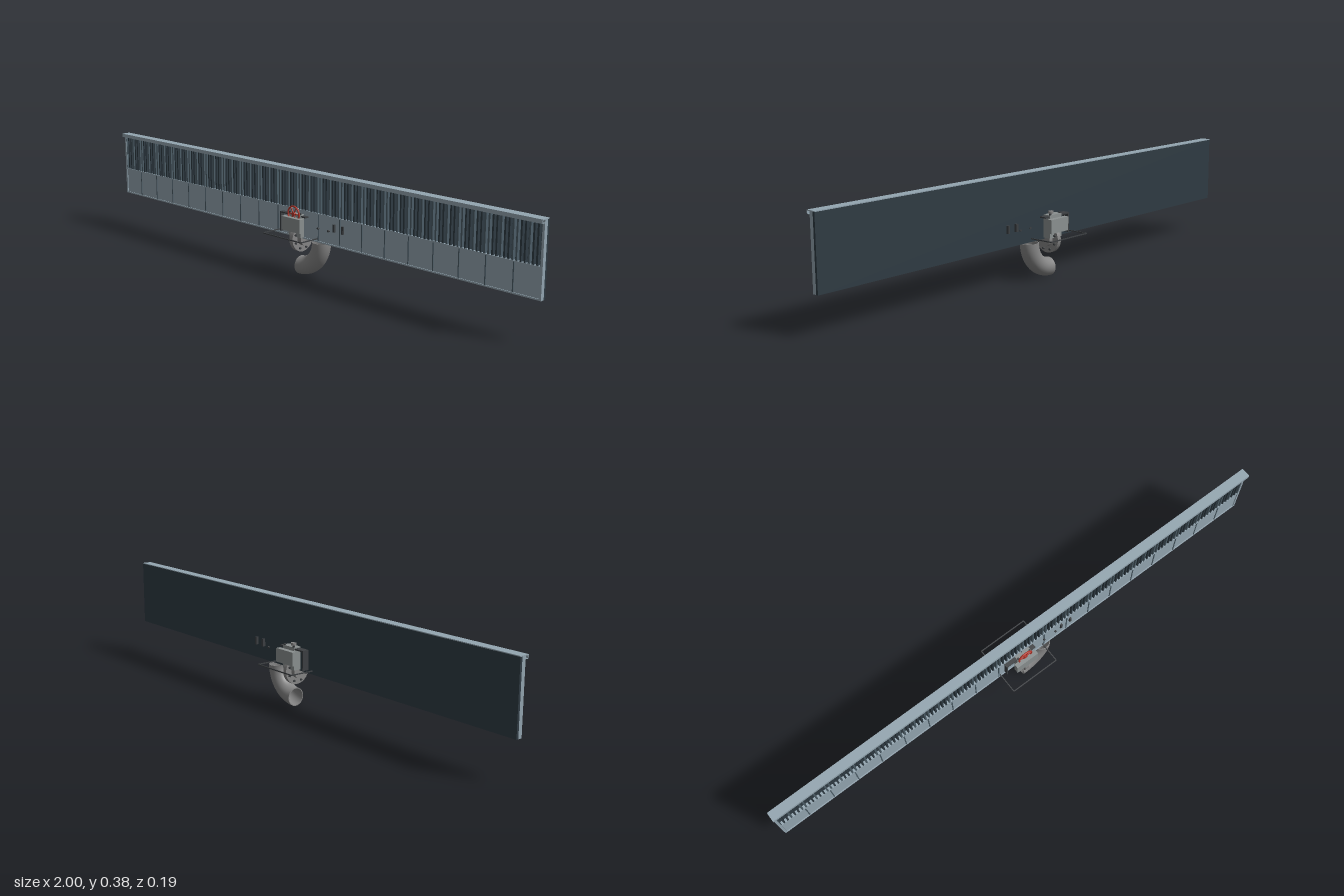
import * as THREE from 'three';

const mat = (color) => new THREE.MeshStandardMaterial({ color, side: THREE.DoubleSide });
const LIGHT = mat(0x93a5b0), DARK = mat(0x2f3b43), SLAT = mat(0x4c5d67);
const GREY = mat(0x858585), BODY = mat(0x8a9090), IRON = mat(0x3c3f42), RED = mat(0xb8382c);

function add(parent, name, geometry, material, x = 0, y = 0, z = 0) {
  const m = new THREE.Mesh(geometry, material);
  m.name = name;
  m.position.set(x, y, z);
  parent.add(m);
  return m;
}

// Box given by its lower and upper limits on each axis
function box(parent, name, material, x0, x1, y0, y1, z0, z1) {
  return add(parent, name, new THREE.BoxGeometry(x1 - x0, y1 - y0, z1 - z0), material,
    (x0 + x1) / 2, (y0 + y1) / 2, (z0 + z1) / 2);
}

function cyl(parent, name, material, r, length, axis, x, y, z, sides = 24) {
  const g = new THREE.CylinderGeometry(r, r, length, sides);
  if (axis === 'x') g.rotateZ(Math.PI / 2);
  if (axis === 'z') g.rotateX(Math.PI / 2);
  return add(parent, name, g, material, x, y, z);
}

function buildWall() {
  const wall = new THREE.Group();
  wall.name = 'wall';
  box(wall, 'backPanel', DARK, -1, 1, 0.135, 0.377, -0.004, 0.004);
  box(wall, 'bottomRail', LIGHT, -1, 1, 0.135, 0.14, 0.004, 0.018);
  box(wall, 'middleRail', LIGHT, -1, 1, 0.233, 0.237, 0.004, 0.017);
  // Cap with a folded front lip
  box(wall, 'cap', LIGHT, -1, 1, 0.377, 0.38, -0.004, 0.031);
  box(wall, 'capLip', LIGHT, -1, 1, 0.367, 0.377, 0.029, 0.031);
  box(wall, 'capReturn', LIGHT, -1, 1, 0.367, 0.3685, 0.018, 0.029);
  for (const s of [-1, 1])
    box(wall, 'endPost', LIGHT, s * 0.996 - 0.004, s * 0.996 + 0.004, 0.135, 0.377, 0.004, 0.018);
  // Lower panels with posts between them, and upright slats above
  const bays = 20, pitch = 2 / bays, slats = 7;
  for (let i = 0; i < bays; i++) {
    const x = -1 + i * pitch;
    box(wall, 'lowerPanel', LIGHT, x + 0.002, x + pitch - 0.002, 0.14, 0.233, 0.004, 0.015);
    if (i) box(wall, 'panelDivider', SLAT, x - 0.002, x + 0.002, 0.14, 0.233, 0.004, 0.017);
    for (let j = 0; j < slats; j++) {
      const c = x + (j + 0.5) * pitch / slats;
      box(wall, 'slat', j % 3 ? DARK : SLAT, c - 0.003, c + 0.003, 0.237, 0.377, 0.004, 0.016);
    }
  }
  // Small fittings that pass through the wall
  for (const x of [0.175, 0.215])
    box(wall, 'latch', IRON, x - 0.004, x + 0.004, 0.185, 0.212, -0.014, 0.021);
  for (const x of [0.1, 0.15])
    cyl(wall, 'bolt', IRON, 0.004, 0.028, 'z', x, 0.185, 0.007, 12);
  return wall;
}

function buildValve() {
  const valve = new THREE.Group();
  valve.name = 'valve';
  box(valve, 'body', BODY, -0.03, 0.03, 0.14, 0.222, -0.033, 0.033);
  // Round flange across the wall, with a hub
  cyl(valve, 'flange', GREY, 0.05, 0.016, 'x', 0, 0.132, 0, 40);
  cyl(valve, 'hub', GREY, 0.026, 0.05, 'x', 0, 0.132, 0, 32);
  for (let i = 0; i < 8; i++) {
    const a = (i + 0.5) * Math.PI / 4;
    cyl(valve, 'flangeBolt', IRON, 0.004, 0.026, 'x', 0, 0.132 + 0.039 * Math.sin(a), 0.039 * Math.cos(a), 8);
  }
  // Side housings and studs, front and back
  for (const s of [-1, 1]) {
    const z = s * 0.043;
    box(valve, 'housing', BODY, -0.045, 0.045, 0.161, 0.21, z - 0.009, z + 0.009);
    for (const x of [-0.025, 0.025])
      cyl(valve, 'stud', IRON, 0.004, 0.012, 'y', x, 0.221, s * 0.029, 10);
  }
  box(valve, 'topBracket', IRON, -0.07, 0.05, 0.213, 0.218, -0.03, 0.03);
  box(valve, 'bracketLeg', IRON, -0.075, -0.07, 0.147, 0.218, -0.03, 0.03);
  cyl(valve, 'topKnob', GREY, 0.01, 0.03, 'y', 0, 0.216, -0.01, 20);

  // Red hand wheel with spokes
  const wheel = new THREE.Group();
  wheel.name = 'handWheel';
  wheel.position.set(0, 0.222, 0.037);
  add(wheel, 'rim', new THREE.TorusGeometry(0.027, 0.003, 10, 36), RED);
  for (let i = 0; i < 3; i++)
    box(wheel, 'spoke', RED, -0.027, 0.027, -0.0015, 0.0015, -0.0015, 0.0015).rotation.z = i * Math.PI / 3;
  cyl(wheel, 'wheelHub', RED, 0.007, 0.008, 'z', 0, 0, 0, 16);
  valve.add(wheel);
  return valve;
}

// Square guard rail lying around the valve
function buildGuard() {
  const guard = new THREE.Group();
  guard.name = 'guardFrame';
  const r = 0.0018, h = 0.094;
  for (const s of [-1, 1]) {
    box(guard, 'longBar', IRON, -h, h, 0.147 - r, 0.147 + r, s * h - r, s * h + r);
    box(guard, 'crossBar', IRON, s * h - r, s * h + r, 0.147 - r, 0.147 + r, -h, h);
  }
  return guard;
}

// Hollow quarter bend below the wall
function buildElbow() {
  const elbow = new THREE.Group();
  elbow.name = 'elbowPipe';
  elbow.position.y = 0.133;
  for (const r of [0.033, 0.03]) {
    const g = new THREE.TorusGeometry(0.1, r, 32, 32, Math.PI / 2);
    g.rotateZ(-Math.PI / 2);
    add(elbow, r > 0.031 ? 'outerSkin' : 'innerSkin', g, GREY);
  }
  const ring = new THREE.RingGeometry(0.03, 0.033, 32);
  add(elbow, 'lowerRim', ring, GREY, 0, -0.1, 0).rotation.y = -Math.PI / 2;
  add(elbow, 'upperRim', ring, GREY, 0.1, 0, 0).rotation.x = -Math.PI / 2;
  return elbow;
}

export function createModel() {
  const model = new THREE.Group();
  model.name = 'wallWithValve';
  model.add(buildWall(), buildValve(), buildGuard(), buildElbow());
  return model;
}
